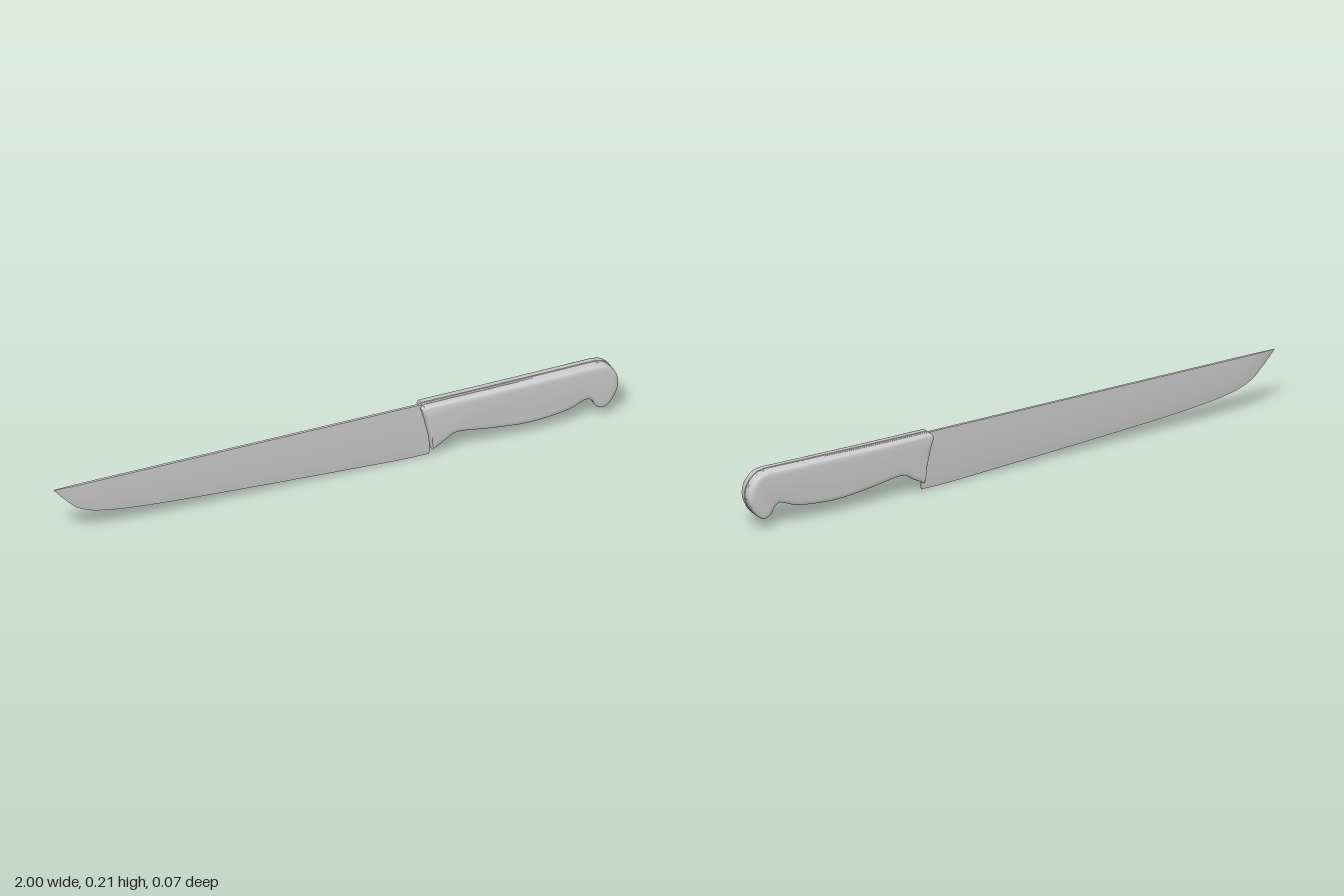
import * as THREE from 'three';
import { toCreasedNormals } from 'three/addons/utils/BufferGeometryUtils.js';

const material = new THREE.MeshStandardMaterial({ color: 0xcccccc });
const v2 = (p) => new THREE.Vector2(p[0], p[1]);

function makeMesh(name, positions, index, crease) {
  const geometry = new THREE.BufferGeometry();
  geometry.setAttribute('position', new THREE.Float32BufferAttribute(positions, 3));
  geometry.setIndex(index);
  const mesh = new THREE.Mesh(toCreasedNormals(geometry.toNonIndexed(), crease), material);
  mesh.name = name;
  return mesh;
}

// Skins a stack of inset copies of an outline; each ring is [z, inset]
function slab(name, outline, rings) {
  const n = outline.length, positions = [], index = [];
  const normals = outline.map((p, i) => {
    const a = outline[(i + n - 1) % n], b = outline[(i + 1) % n];
    const t = p.clone().sub(a).normalize().add(b.clone().sub(p).normalize()).normalize();
    return new THREE.Vector2(t.y, -t.x);
  });
  for (const [z, inset] of rings) {
    outline.forEach((p, i) => positions.push(p.x - normals[i].x * inset, p.y - normals[i].y * inset, z));
  }
  for (let r = 0; r < rings.length - 1; r++) {
    for (let i = 0; i < n; i++) {
      const a = r * n + i, b = r * n + (i + 1) % n;
      index.push(a, b, b + n, a, b + n, a + n);
    }
  }
  const last = (rings.length - 1) * n;
  for (const [a, b, c] of THREE.ShapeUtils.triangulateShape(outline, [])) {
    index.push(c, b, a, last + a, last + b, last + c);
  }
  return makeMesh(name, positions, index, 0.9);
}

// Handle side profile: slanted front, swelling belly, hooked pommel, flat top
function handleOutline() {
  const belly = new THREE.SplineCurve([
    [0.335, 0.035], [0.38, 0.06], [0.425, 0.082], [0.54, 0.066], [0.675, 0.053],
    [0.81, 0.065], [0.875, 0.089], [0.9, 0.083], [0.918, 0.055], [0.945, 0.045],
    [0.975, 0.07], [0.997, 0.12], [0.99, 0.167], [0.96, 0.201], [0.925, 0.211],
  ].map(v2)).getPoints(56);
  const rest = [[0.75, 0.209], [0.52, 0.207], [0.308, 0.206], [0.3, 0.195], [0.311, 0.16], [0.328, 0.085]];
  return [...belly, ...rest.map(v2)];
}

// Blade: five-point wedge section swept from the tip to the heel
function createBlade() {
  const edge = new THREE.SplineCurve([
    [-1, 0.203], [-0.955, 0.152], [-0.91, 0.112], [-0.83, 0.083], [-0.66, 0.06],
    [-0.33, 0.037], [0, 0.018], [0.22, 0.006], [0.335, 0.004],
  ].map(v2)).getPoints(48);
  const spineY = 0.205, half = 0.0045, m = 5, positions = [], index = [];
  for (const p of edge) {
    const height = spineY - p.y;
    const shoulder = p.y + Math.min(0.04, height * 0.4);
    const w = half * Math.min(1, 0.3 + height * 8);
    positions.push(
      p.x, spineY, w, p.x, shoulder, w * 0.95, p.x, p.y, 0,
      p.x, shoulder, -w * 0.95, p.x, spineY, -w,
    );
  }
  for (let s = 0; s < edge.length - 1; s++) {
    for (let j = 0; j < m; j++) {
      const a = s * m + j, b = s * m + (j + 1) % m;
      index.push(a, b, b + m, a, b + m, a + m);
    }
  }
  const heel = (edge.length - 1) * m;
  for (let j = 1; j < m - 1; j++) {
    index.push(heel, heel + j, heel + j + 1);
    index.push(0, j + 1, j);
  }
  return makeMesh('blade', positions, index, 0.6);
}

export function createModel() {
  const knife = new THREE.Group();
  knife.name = 'knife';
  knife.add(createBlade());

  // Tang sits slightly below the scales, leaving a groove on each side
  const outline = handleOutline();
  knife.add(slab('tang', outline, [
    [-0.006, 0.003], [-0.004, 0.001], [0.004, 0.001], [0.006, 0.003],
  ]));

  // Mirrored handle scales with softly rounded outer edges
  const rings = [
    [0.0055, 0.003], [0.0075, 0], [0.0255, 0.001], [0.0298, 0.003], [0.0318, 0.007], [0.033, 0.018],
  ];
  knife.add(slab('frontScale', outline, rings));
  knife.add(slab('backScale', outline, rings.map(([z, inset]) => [-z, inset]).reverse()));
  return knife;
}
